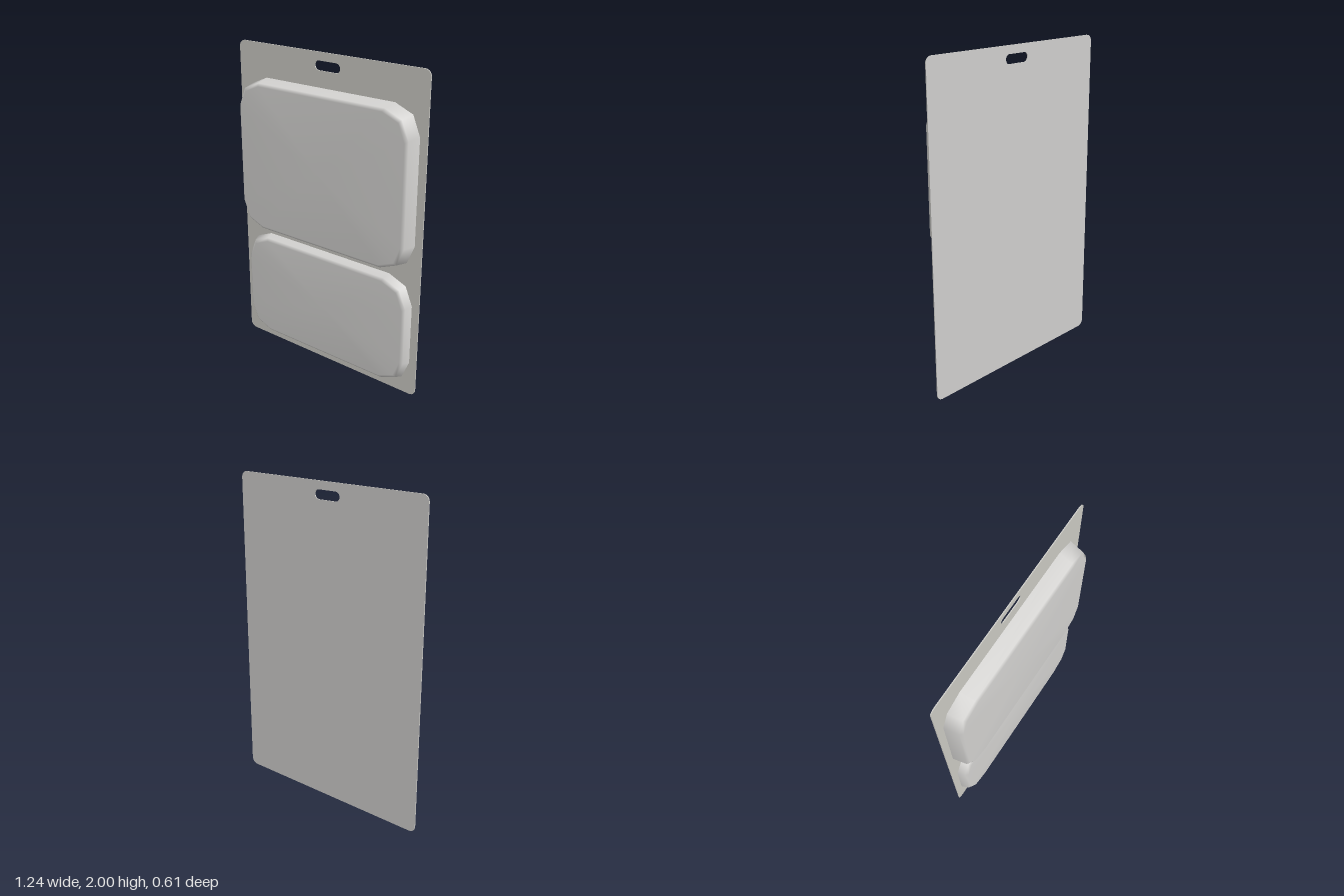
import * as THREE from 'three';

const cardFront = new THREE.MeshStandardMaterial({ color: 0xcbcac3 });
cardFront.name = 'cardFrontGrey';
const cardBack = new THREE.MeshStandardMaterial({ color: 0xd0cfcd });
cardBack.name = 'cardBackGrey';
const shellGrey = new THREE.MeshStandardMaterial({ color: 0xd3d2d0, side: THREE.DoubleSide });
shellGrey.name = 'shellGrey';

// Counter-clockwise points of a rounded rectangle centred on the origin
function roundedRect(halfW, halfH, r, segments) {
  const points = [];
  const corners = [[1, 1], [-1, 1], [-1, -1], [1, -1]];
  corners.forEach(([sx, sy], q) => {
    for (let i = 0; i <= segments; i++) {
      const a = (q + i / segments) * Math.PI / 2;
      points.push(new THREE.Vector2(
        sx * (halfW - r) + r * Math.cos(a),
        sy * (halfH - r) + r * Math.sin(a)));
    }
  });
  return points;
}

// One thin layer of the card, with a rounded hanging slot
function cardLayer(name, material, z, depth) {
  const shape = new THREE.Shape(roundedRect(0.676, 1, 0.04, 6));
  const slot = roundedRect(0.09, 0.028, 0.0279, 8).map((p) => p.add(new THREE.Vector2(0, 0.922)));
  shape.holes.push(new THREE.Path(slot));
  const mesh = new THREE.Mesh(
    new THREE.ExtrudeGeometry(shape, { depth, bevelEnabled: false }), material);
  mesh.name = name;
  mesh.position.set(0, 1, z);
  return mesh;
}

// Smooth raised tray: loops for base, wall top and bevel, closed by a fan
function blister(name, halfW, halfH, height, y) {
  const rings = [
    [0, 0], [0.016, height - 0.014], [0.034, height],
  ].map(([inset, z]) => roundedRect(halfW - inset, halfH - inset, 0.165 - inset * 0.5, 2)
    .map((p) => [p.x, p.y, z]));
  const n = rings[0].length;
  const index = [];
  const centre = rings.length * n;
  for (let i = 0; i < n; i++) {
    const j = (i + 1) % n;
    for (let k = 0; k < rings.length - 1; k++) {
      const a = k * n + i, b = k * n + j;
      index.push(a, b, b + n, a, b + n, a + n);
    }
    index.push(centre - n + i, centre - n + j, centre);
  }
  const geometry = new THREE.BufferGeometry();
  geometry.setAttribute('position',
    new THREE.Float32BufferAttribute([...rings.flat(2), 0, 0, height], 3));
  geometry.setIndex(index);
  geometry.computeVertexNormals();
  const mesh = new THREE.Mesh(geometry, shellGrey);
  mesh.name = name;
  mesh.position.y = y;
  return mesh;
}

export function createModel() {
  const pack = new THREE.Group();
  pack.name = 'blisterPack';
  pack.add(
    cardLayer('cardFront', cardFront, -0.003, 0.003),
    cardLayer('cardBack', cardBack, -0.006, 0.003),
    blister('upperBlister', 0.627, 0.485, 0.1, 1.31),
    blister('lowerBlister', 0.627, 0.358, 0.06, 0.413),
  );
  // The whole pack is turned about its upright axis
  pack.rotation.y = -0.42;
  pack.position.z = -0.027;

  const model = new THREE.Group();
  model.name = 'model';
  model.add(pack);
  return model;
}
